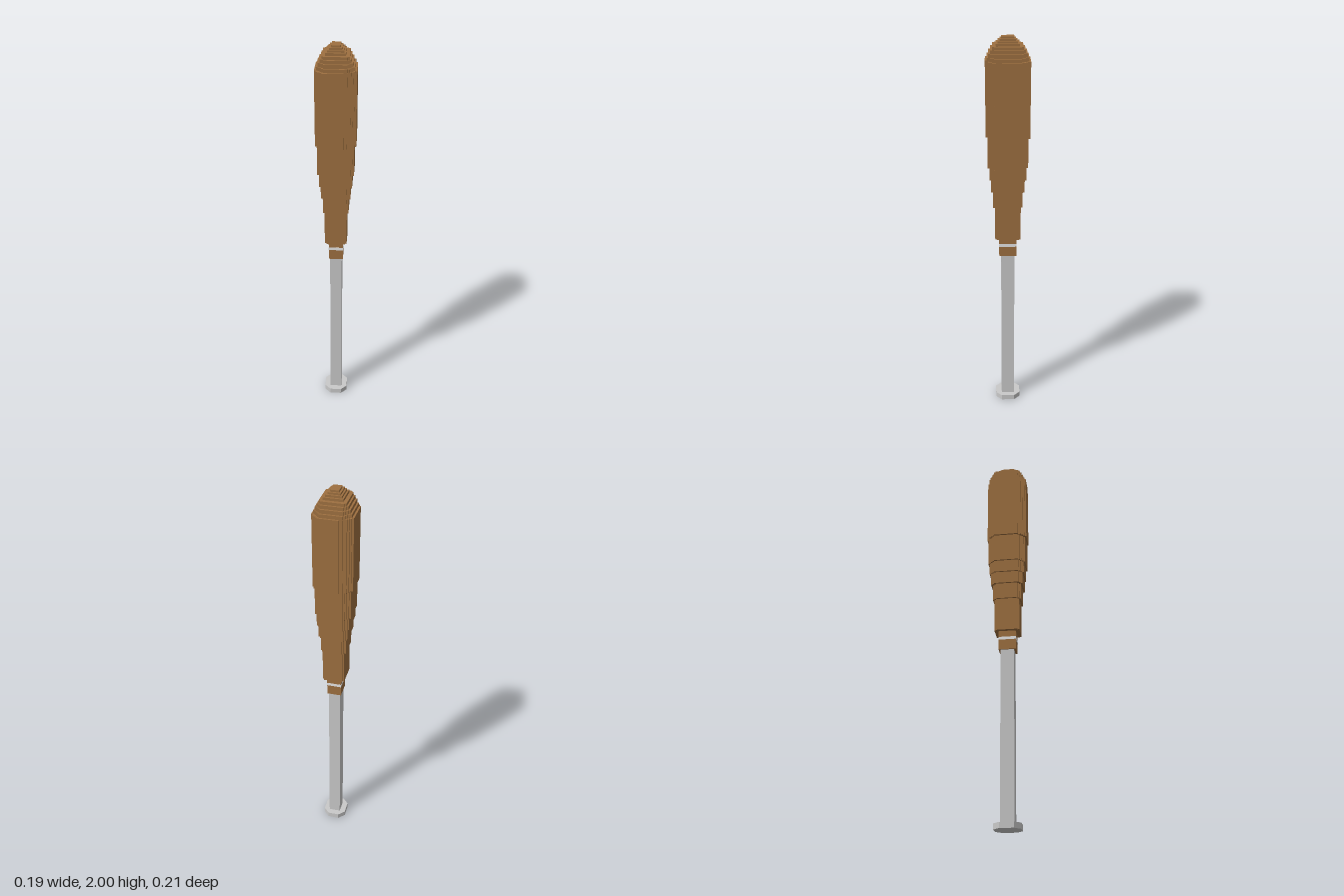
import * as THREE from 'three';

const wood = new THREE.MeshStandardMaterial({ color: 0x9e7040 });
wood.name = 'wood brown';
const grip = new THREE.MeshStandardMaterial({ color: 0xc9c9c9 });
grip.name = 'grip grey';
const white = new THREE.MeshStandardMaterial({ color: 0xf2f2f2 });
white.name = 'band white';

// Upright prism from an outline of [x, z] points
function prism(name, outline, y0, y1, material) {
  const shape = new THREE.Shape(outline.map(([x, z]) => new THREE.Vector2(x, -z)));
  const geo = new THREE.ExtrudeGeometry(shape, { depth: y1 - y0, bevelEnabled: false });
  geo.rotateX(-Math.PI / 2).translate(0, y0, 0);
  const mesh = new THREE.Mesh(geo, material);
  mesh.name = name;
  return mesh;
}

function box(name, hx, hz, y0, y1, material) {
  const mesh = new THREE.Mesh(new THREE.BoxGeometry(hx * 2, y1 - y0, hz * 2), material);
  mesh.position.y = (y0 + y1) / 2;
  mesh.name = name;
  return mesh;
}

// Outline from two opposite corner profiles, each turned half round;
// profiles run from the back edge out to the side edge
function halfTurnOutline(right, left) {
  const half = [
    ...left.map(([x, z]) => [-x, -z]).reverse(),
    ...right.map(([x, z]) => [x, -z]),
  ];
  return [...half, ...half.map(([x, z]) => [-x, -z])];
}

// Rectangle whose corners are cut by n square steps
const STEP = 0.0086;
function steppedOutline(hx, hz, n) {
  const corner = [];
  for (let i = 0; i <= n; i++) {
    corner.push([hx - (n - i) * STEP, hz - i * STEP]);
    if (i < n) corner.push([hx - (n - i) * STEP, hz - (i + 1) * STEP]);
  }
  return halfTurnOutline(corner, corner);
}

export function createModel() {
  const bat = new THREE.Group();
  bat.name = 'bat';

  // Octagonal knob
  const cut = [[0.029, 0.065], [0.06, 0.034]];
  bat.add(prism('knob', halfTurnOutline(cut, cut), 0, 0.028, grip));

  // Handle, collar and band
  bat.add(box('handle', 0.03, 0.034, 0.028, 0.89, grip));
  bat.add(box('collar', 0.036, 0.044, 0.89, 0.99, wood));
  bat.add(box('band', 0.0368, 0.0448, 0.943, 0.958, white));

  // Flaring taper: half width, half depth, corner steps, bottom, top
  const taper = [
    [0.055, 0.064, 1, 0.99, 1.165],
    [0.063, 0.073, 2, 1.165, 1.25],
    [0.072, 0.082, 2, 1.25, 1.313],
    [0.08, 0.09, 3, 1.313, 1.377],
    [0.088, 0.098, 4, 1.377, 1.527],
  ];
  taper.forEach(([hx, hz, n, y0, y1], i) =>
    bat.add(prism(`taper${i + 1}`, steppedOutline(hx, hz, n), y0, y1, wood)));

  // Barrel with uneven stepped corners
  const barrelRight = [
    [0.062, 0.106], [0.062, 0.098], [0.07, 0.098], [0.07, 0.09], [0.08, 0.09],
    [0.08, 0.081], [0.088, 0.081], [0.088, 0.064], [0.097, 0.064],
  ];
  const barrelLeft = [
    [0.038, 0.106], [0.038, 0.098], [0.054, 0.098], [0.054, 0.09], [0.071, 0.09],
    [0.071, 0.081], [0.08, 0.081], [0.08, 0.072], [0.088, 0.072], [0.088, 0.064], [0.097, 0.064],
  ];
  bat.add(prism('barrel', halfTurnOutline(barrelRight, barrelLeft), 1.527, 1.895, wood));

  // Stepped dome closing the tip
  const dome = [
    [0.088, 0.098, 4, 1.895, 1.912],
    [0.08, 0.09, 3, 1.912, 1.93],
    [0.071, 0.081, 2, 1.93, 1.946],
    [0.063, 0.072, 1, 1.946, 1.96],
    [0.046, 0.055, 0, 1.96, 1.972],
    [0.038, 0.046, 0, 1.972, 1.982],
    [0.03, 0.038, 0, 1.982, 1.991],
    [0.021, 0.03, 0, 1.991, 2],
  ];
  dome.forEach(([hx, hz, n, y0, y1], i) =>
    bat.add(prism(`tip${i + 1}`, steppedOutline(hx, hz, n), y0, y1, wood)));

  return bat;
}
